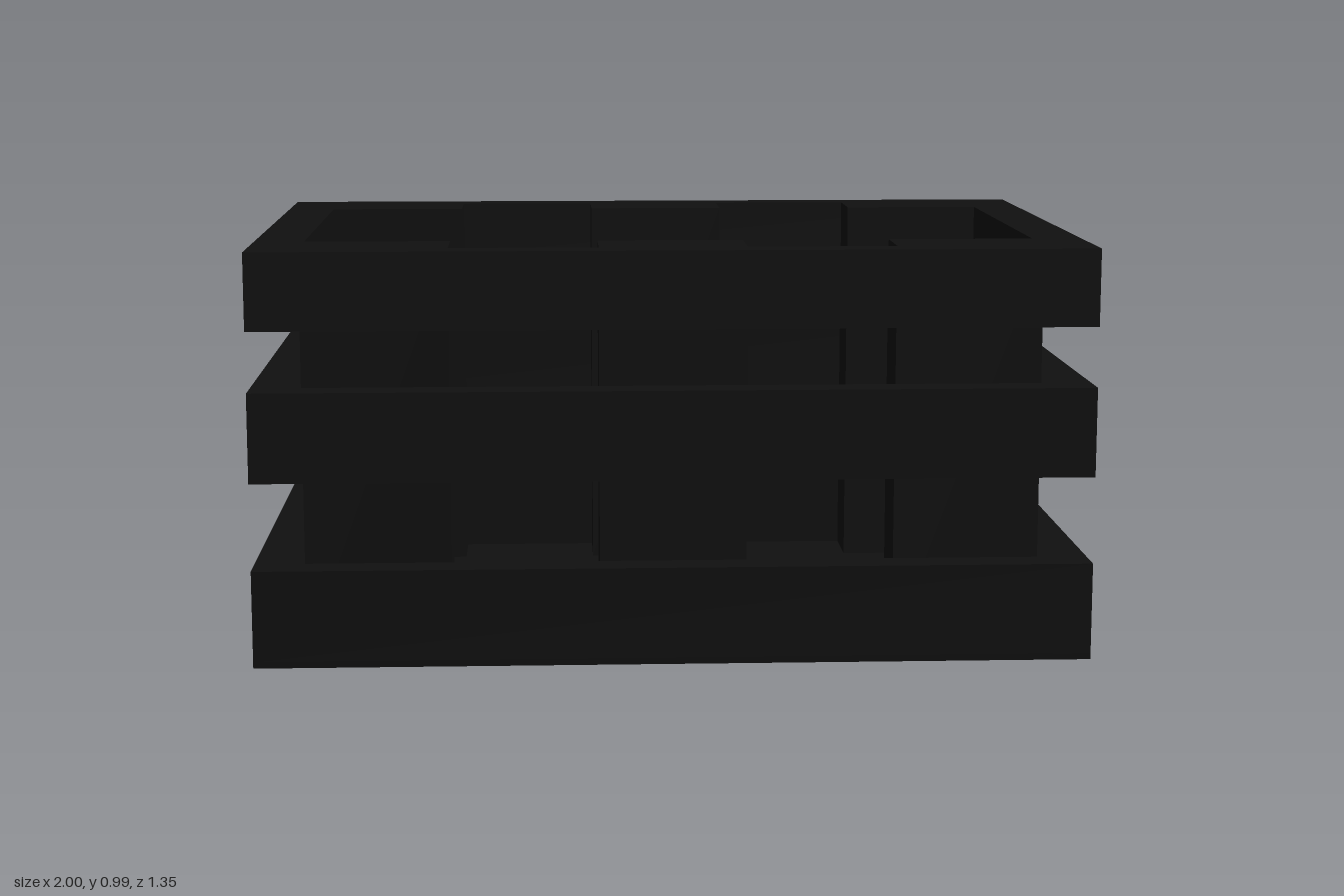
import * as THREE from 'three';

export function createModel() {
  const crate = new THREE.Group();
  crate.name = 'crate';
  const material = new THREE.MeshStandardMaterial({ color: 0x101010 });

  const HX = 1, HZ = 0.675;          // outer half sizes
  const IX = 0.88, IZ = 0.595;       // inner faces of the rails
  const FLOOR = 0.015, TOP = 0.99;

  // box given by its lower and upper corner
  const addBox = (name, [x0, y0, z0], [x1, y1, z1]) => {
    const mesh = new THREE.Mesh(new THREE.BoxGeometry(x1 - x0, y1 - y0, z1 - z0), material);
    mesh.position.set((x0 + x1) / 2, (y0 + y1) / 2, (z0 + z1) / 2);
    mesh.name = name;
    crate.add(mesh);
  };

  // floor panel
  addBox('floor', [-HX, 0, -HZ], [HX, FLOOR, HZ]);

  // three bands of rails around the crate
  const bands = [['lower', FLOOR, 0.235], ['middle', 0.445, 0.66], ['upper', 0.805, TOP]];
  for (const [band, y0, y1] of bands) {
    addBox(`${band}FrontRail`, [-HX, y0, IZ], [HX, y1, HZ]);
    addBox(`${band}BackRail`, [-HX, y0, -HZ], [HX, y1, -IZ]);
    addBox(`${band}LeftRail`, [IX, y0, -IZ], [HX, y1, IZ]);
    addBox(`${band}RightRail`, [-HX, y0, -IZ], [-IX, y1, IZ]);
  }

  // upright boards inside the long sides
  const boards = [['Right', -0.88, -0.53], ['Middle', -0.176, 0.176], ['Left', 0.53, 0.88]];
  for (const [side, x0, x1] of boards) {
    addBox(`front${side}Post`, [x0, FLOOR, 0.435], [x1, TOP, IZ]);
    addBox(`back${side}Post`, [x0, FLOOR, -IZ], [x1, TOP, -0.435]);
  }

  return crate;
}
